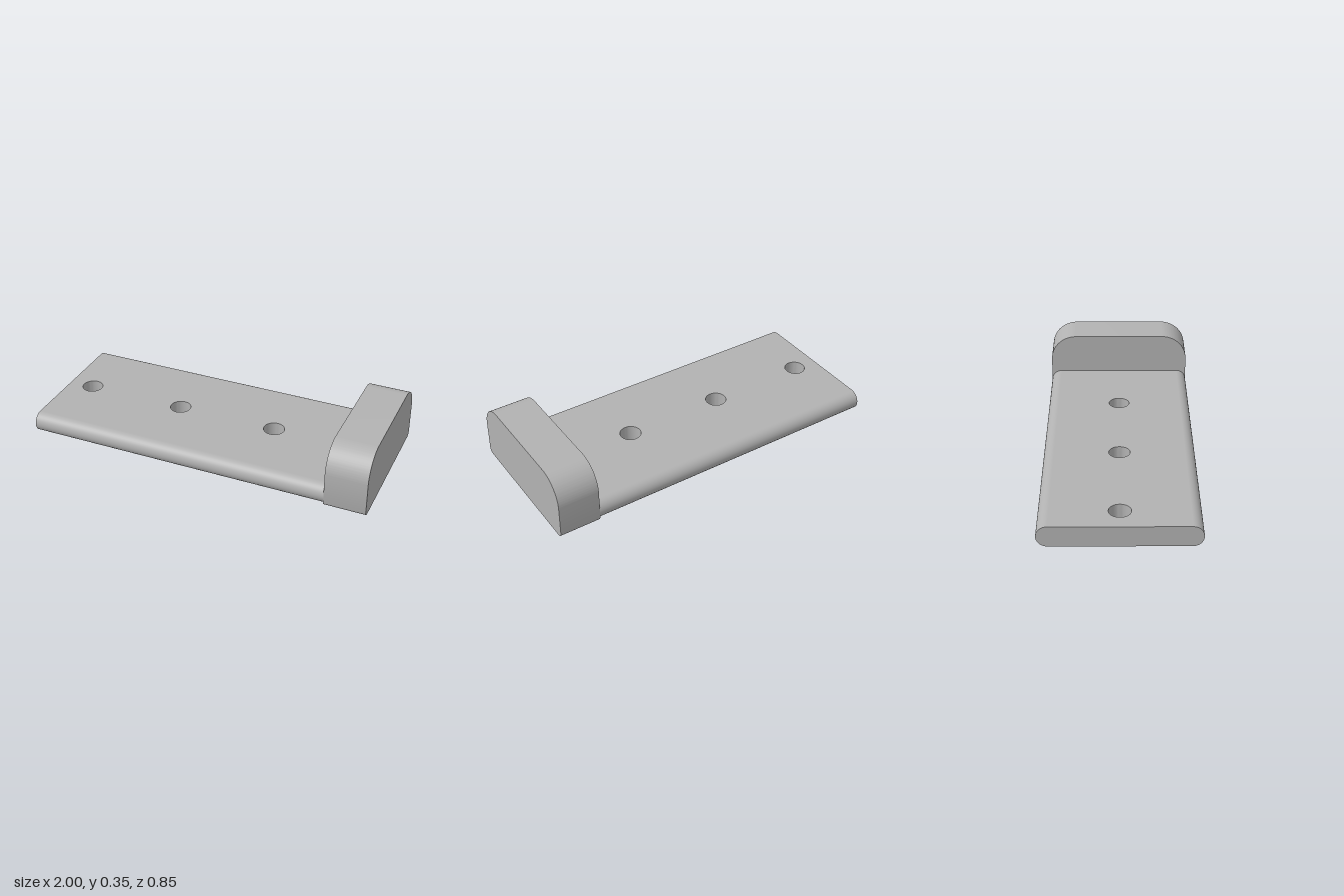
import * as THREE from 'three';
import { toCreasedNormals } from 'three/addons/utils/BufferGeometryUtils.js';

const HALF_WIDTH = 0.425, THICK = 0.118, STEP_X = 0.765, BLOCK_HEIGHT = 0.355;

function extrude(shape, depth) {
  const geo = new THREE.ExtrudeGeometry(shape, { depth, bevelEnabled: false, curveSegments: 20 });
  return toCreasedNormals(geo, 0.6);
}

export function createModel() {
  const group = new THREE.Group();
  const grey = new THREE.MeshStandardMaterial({ color: 0xb2b2b2 });
  grey.name = 'plainGrey';

  const add = (name, geo) => {
    const mesh = new THREE.Mesh(geo, grey);
    mesh.name = name;
    group.add(mesh);
    return mesh;
  };

  // Flat plate with three drilled holes
  const r = THICK / 2, w = HALF_WIDTH - r;
  const plan = new THREE.Shape();
  plan.moveTo(-1, -w).lineTo(STEP_X, -w).lineTo(STEP_X, w).lineTo(-1, w).closePath();
  for (const x of [-0.855, -0.267, 0.32]) {
    plan.holes.push(new THREE.Path().absarc(x, 0, 0.06, 0, Math.PI * 2, true));
  }
  add('plate', extrude(plan, THICK).rotateX(-Math.PI / 2));

  // Half-round long edges of the plate
  const length = STEP_X + 1;
  for (const side of [1, -1]) {
    const edge = new THREE.CylinderGeometry(r, r, length, 20, 1, false, -Math.PI / 2, Math.PI);
    edge.rotateZ(Math.PI / 2);
    if (side < 0) edge.rotateY(Math.PI);
    edge.translate((STEP_X - 1) / 2, r, side * w);
    add(side > 0 ? 'frontRoundedEdge' : 'backRoundedEdge', edge);
  }

  // Raised end block: large top corners, small bottom corners
  const R = 0.155, s = 0.03, h = HALF_WIDTH;
  const profile = new THREE.Shape();
  profile.moveTo(-h + s, 0).lineTo(h - s, 0);
  profile.absarc(h - s, s, s, -Math.PI / 2, 0, false);
  profile.absarc(h - R, BLOCK_HEIGHT - R, R, 0, Math.PI / 2, false);
  profile.absarc(-h + R, BLOCK_HEIGHT - R, R, Math.PI / 2, Math.PI, false);
  profile.absarc(-h + s, s, s, Math.PI, Math.PI * 1.5, false);
  add('endBlock', extrude(profile, 1 - STEP_X).rotateY(Math.PI / 2).translate(STEP_X, 0, 0));

  return group;
}
